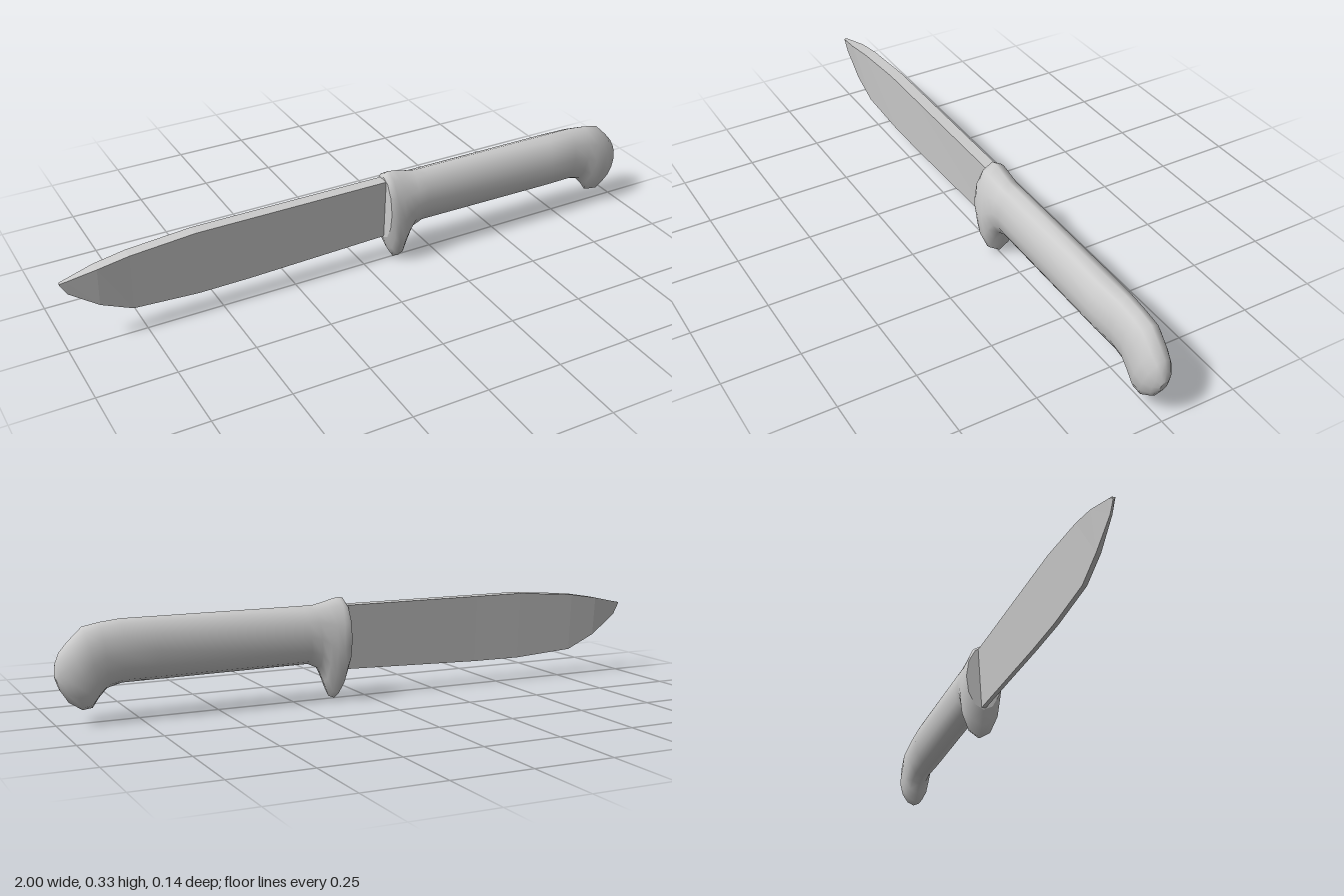
import * as THREE from 'three';

// Skin a row of closed cross-sections (ordered from +z towards +y) running along +x, with flat end caps.
function loft(rings, smooth) {
  const n = rings[0].length, last = rings.length - 1;
  const pos = rings.flat(2), idx = [];
  for (let s = 0; s < last; s++) {
    for (let i = 0; i < n; i++) {
      const j = (i + 1) % n, a = s * n + i, c = s * n + j;
      idx.push(a, a + n, c, c, a + n, c + n);
    }
  }
  // caps get their own vertices so their rims stay crisp
  for (const [ring, flip] of [[rings[0], false], [rings[last], true]]) {
    const base = pos.length / 3;
    pos.push(...ring.flat());
    for (let i = 1; i < n - 1; i++) {
      if (flip) idx.push(base, base + i + 1, base + i);
      else idx.push(base, base + i, base + i + 1);
    }
  }
  let geo = new THREE.BufferGeometry();
  geo.setAttribute('position', new THREE.Float32BufferAttribute(pos, 3));
  geo.setIndex(idx);
  if (!smooth) geo = geo.toNonIndexed();
  geo.computeVertexNormals();
  return geo;
}

// Elliptical section in a plane leaning from a top point to a bottom point.
function ovalRing([xt, yt, xb, yb, w], sides = 12) {
  return Array.from({ length: sides }, (_, i) => {
    const a = (i / sides) * Math.PI * 2, t = (1 + Math.sin(a)) / 2;
    return [xb + (xt - xb) * t, yb + (yt - yb) * t, Math.cos(a) * w];
  });
}

// Wedge section: thick spine, thin cutting edge.
function wedgeRing([x, top, bottom, w]) {
  const e = Math.min(0.007, w * 0.4);
  return [[x, bottom, e], [x, top, w], [x, top, -w], [x, bottom, -e]];
}

export function createModel() {
  const model = new THREE.Group();
  model.name = 'knife';
  const steel = new THREE.MeshStandardMaterial({ color: 0xcccccc });
  steel.name = 'light grey';

  const add = (name, geo) => {
    const mesh = new THREE.Mesh(geo, steel);
    mesh.name = name;
    model.add(mesh);
  };

  // Blade: x, spine height, edge height, half thickness
  add('blade', loft([
    [-1.0, 0.242, 0.235, 0.005],
    [-0.98, 0.246, 0.20, 0.008],
    [-0.89, 0.266, 0.135, 0.019],
    [-0.79, 0.283, 0.09, 0.02],
    [-0.58, 0.30, 0.077, 0.02],
    [-0.41, 0.30, 0.078, 0.02],
    [0.09, 0.30, 0.092, 0.02],
  ].map(wedgeRing), false));

  // Handle with finger guard and hooked pommel: top x, top y, bottom x, bottom y, half width
  add('handle', loft([
    [0.07, 0.31, 0.07, 0.085, 0.06],
    [0.077, 0.322, 0.087, 0.035, 0.066],
    [0.09, 0.326, 0.108, 0.0, 0.068],
    [0.115, 0.322, 0.128, 0.008, 0.066],
    [0.14, 0.315, 0.145, 0.055, 0.063],
    [0.18, 0.306, 0.165, 0.102, 0.059],
    [0.22, 0.305, 0.2, 0.118, 0.058],
    [0.7, 0.305, 0.7, 0.113, 0.057],
    [0.8, 0.305, 0.8, 0.112, 0.051],
    [0.865, 0.298, 0.845, 0.1, 0.05],
    [0.915, 0.288, 0.87, 0.073, 0.053],
    [0.96, 0.245, 0.89, 0.044, 0.052],
    [0.985, 0.216, 0.92, 0.04, 0.045],
    [0.997, 0.185, 0.96, 0.066, 0.03],
    [1.0, 0.15, 0.985, 0.105, 0.012],
  ].map((s) => ovalRing(s)), true));

  return model;
}
